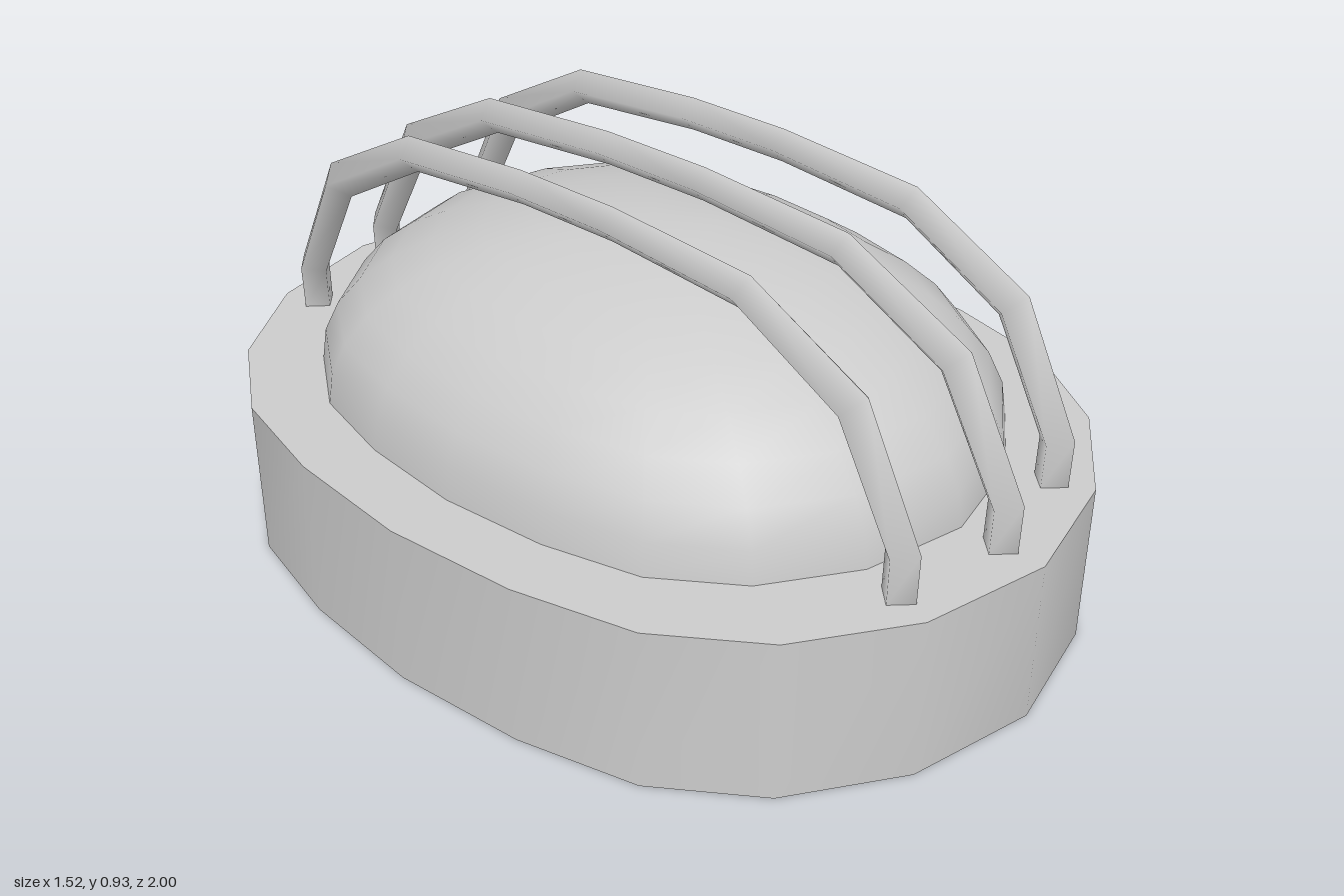
import * as THREE from 'three';
import { mergeVertices } from 'three/addons/utils/BufferGeometryUtils.js';

const BASE_HEIGHT = 0.365;
const DOME_TOP = 0.78;
const DOME_SCALE = 0.81;

// One quarter of the oval outline, [x, z], from the front to the left side
const QUARTER = [[0, 1], [0.29, 0.935], [0.52, 0.78], [0.667, 0.57], [0.735, 0.305], [0.762, 0]];

// Mirrors the quarter into the full 20-sided oval, anticlockwise from above
function ovalOutline() {
  const back = QUARTER.slice(0, -1).reverse().map(([x, z]) => [x, -z]);
  const half = [...QUARTER, ...back];
  const right = half.slice(1, -1).reverse().map(([x, z]) => [-x, z]);
  return [...half, ...right];
}

// Skins a list of closed rings with a smooth surface
function loft(rings) {
  const n = rings[0].length;
  const index = [];
  for (let i = 0; i < rings.length - 1; i++) {
    for (let j = 0; j < n; j++) {
      const k = (j + 1) % n;
      const a = i * n + j, b = i * n + k, c = b + n, d = a + n;
      index.push(a, b, c, a, c, d);
    }
  }
  let geometry = new THREE.BufferGeometry();
  geometry.setAttribute('position', new THREE.Float32BufferAttribute(rings.flat(2), 3));
  geometry.setIndex(index);
  geometry = mergeVertices(geometry);
  geometry.computeVertexNormals();
  return geometry;
}

// Centre line of a guard bar, [z, y, radius], from the front foot to the top
const BAR = [
  [0.9, BASE_HEIGHT, 0.04],
  [0.902, 0.465, 0.041],
  [0.764, 0.72, 0.045],
  [0.49, 0.861, 0.04],
  [0.134, 0.888, 0.0375],
];

// Four-sided bar bent over the dome; reach scales its length along z
function guardBar(reach) {
  const path = [...BAR, ...BAR.slice().reverse().map(([z, y, r]) => [-z, y, r])]
    .map(([z, y, r]) => ({ p: new THREE.Vector2(z * reach, y), r }));
  const rings = path.map(({ p, r }, i) => {
    // Average direction of the neighbouring segments
    const tangent = new THREE.Vector2();
    if (i > 0) tangent.add(p.clone().sub(path[i - 1].p).normalize());
    if (i < path.length - 1) tangent.add(path[i + 1].p.clone().sub(p).normalize());
    tangent.normalize();
    return [0, 1, 2, 3].map((s) => {
      const out = r * Math.cos(s * Math.PI / 2);
      const side = r * Math.sin(s * Math.PI / 2);
      return [side, p.y - out * tangent.x, p.x + out * tangent.y];
    });
  });
  return loft(rings);
}

export function createModel() {
  const model = new THREE.Group();
  model.name = 'cagedLamp';
  const material = new THREE.MeshStandardMaterial({ color: 0xcccccc, side: THREE.DoubleSide });
  const add = (name, geometry) => {
    const mesh = new THREE.Mesh(geometry, material);
    mesh.name = name;
    model.add(mesh);
    return mesh;
  };

  const outline = ovalOutline();
  const ring = (scale, y) => outline.map(([x, z]) => [x * scale, y, z * scale]);

  // Open-bottomed base: thin wall and flat flange around the dome
  add('baseWall', loft([ring(1, 0), ring(1, BASE_HEIGHT)]));
  add('baseFlange', loft([ring(1, BASE_HEIGHT), ring(DOME_SCALE, BASE_HEIGHT)]));

  // Hollow domed lens
  const domeRings = [];
  const steps = 9;
  for (let i = 0; i <= steps; i++) {
    const a = (i / steps) * Math.PI / 2;
    const scale = i === steps ? 0 : DOME_SCALE * Math.cos(a);
    domeRings.push(ring(scale, BASE_HEIGHT + (DOME_TOP - BASE_HEIGHT) * Math.sin(a)));
  }
  add('domeLens', loft(domeRings));

  // Three guard bars, the outer two slightly shorter
  for (const [name, x, reach] of [['rightGuardBar', -0.26, 0.944], ['centreGuardBar', 0, 1], ['leftGuardBar', 0.26, 0.944]]) {
    add(name, guardBar(reach)).position.x = x;
  }
  return model;
}
